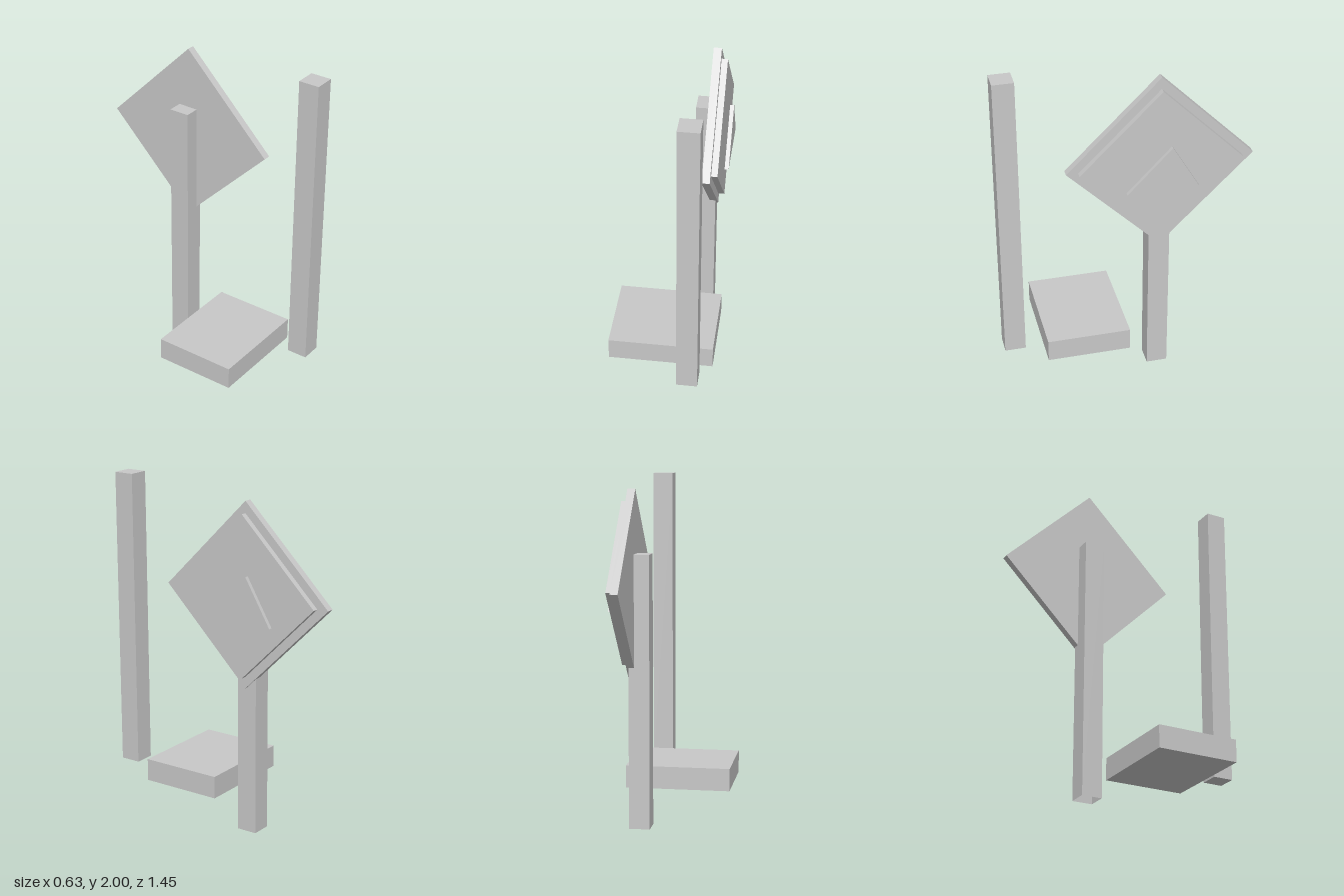
import * as THREE from 'three';

export function createModel() {
  const model = new THREE.Group();
  const grey = new THREE.MeshStandardMaterial({ color: 0xc8c8c8 });
  grey.name = 'light grey';
  grey.side = THREE.DoubleSide;

  const add = (name, geometry) => {
    const mesh = new THREE.Mesh(geometry, grey);
    mesh.name = name;
    model.add(mesh);
    return mesh;
  };

  // Box given by its extents on each axis
  const box = (name, [x0, x1], [y0, y1], [z0, z1]) => {
    const mesh = add(name, new THREE.BoxGeometry(x1 - x0, y1 - y0, z1 - z0));
    mesh.position.set((x0 + x1) / 2, (y0 + y1) / 2, (z0 + z1) / 2);
    return mesh;
  };

  // Upright plate facing +x, outlined by [z, y] points
  const plate = (name, x0, x1, points) => {
    const shape = new THREE.Shape(points.map(([z, y]) => new THREE.Vector2(-z, y)));
    const geometry = new THREE.ExtrudeGeometry(shape, { depth: x1 - x0, bevelEnabled: false });
    geometry.rotateY(Math.PI / 2);
    geometry.translate(x0, 0, 0);
    return add(name, geometry);
  };

  const diamond = (r, y = 1.405, z = -0.19) => [[z + r, y], [z, y - r], [z - r, y], [z, y + r]];

  // Slab and free-standing post
  box('baseSlab', [-0.32, 0.293], [0.18, 0.313], [-0.01, 0.48]);
  box('frontPost', [0.11, 0.23], [0.248, 2], [0.603, 0.724]);

  // Sign post, open underneath
  const signPost = box('signPost', [0.11, 0.23], [0, 1.575], [-0.253, -0.131]).geometry;
  const index = Array.from(signPost.index.array);
  index.splice(18, 6);
  signPost.setIndex(index);
  signPost.clearGroups();

  // Diamond sign with its raised face and triangle
  plate('signBack', 0.197, 0.242, diamond(0.533));
  plate('signFace', 0.242, 0.277, diamond(0.465));
  plate('signTriangle', 0.292, 0.315, [[0.015, 1.27], [-0.397, 1.27], [-0.24, 1.537]]);

  return model;
}
